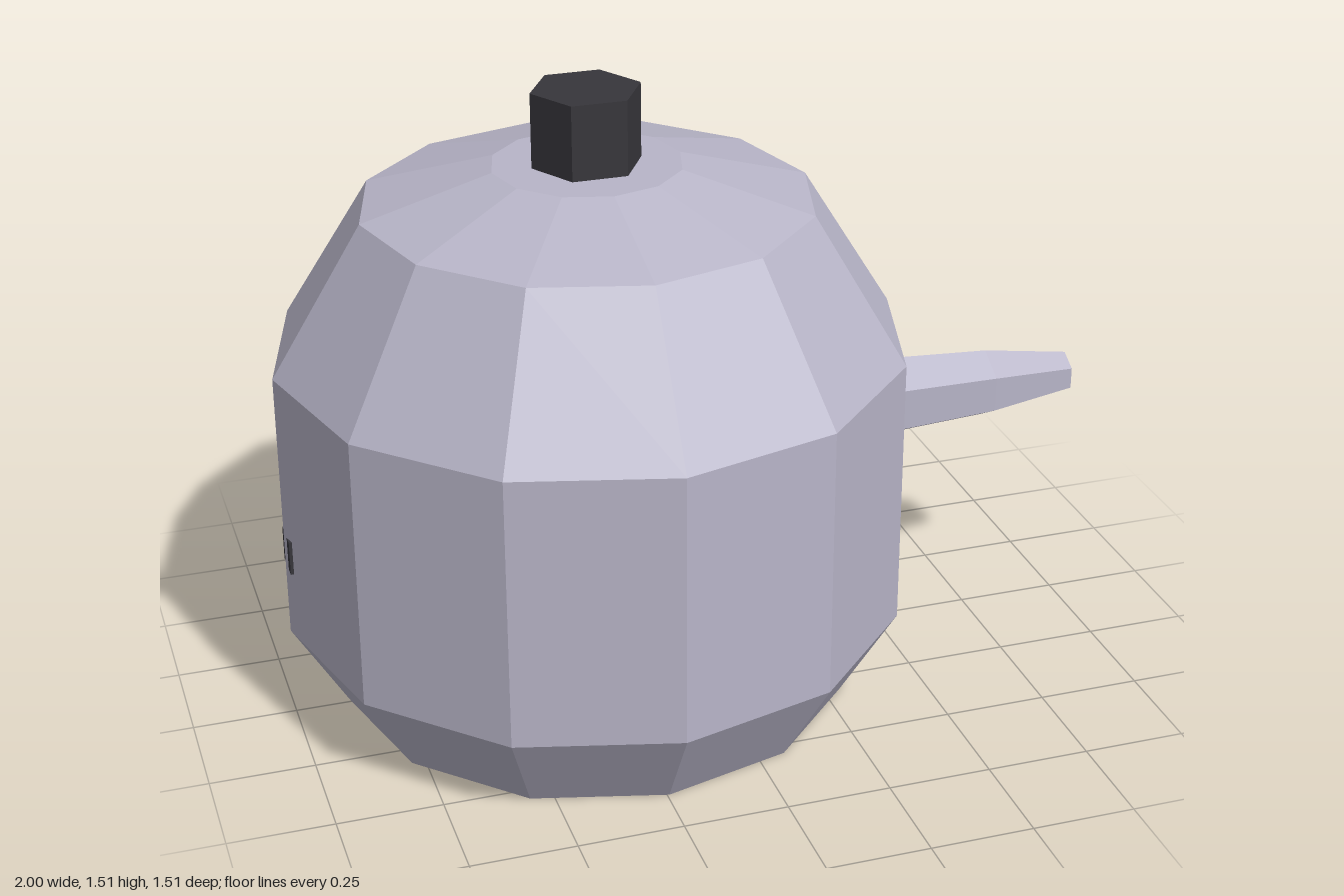
import * as THREE from 'three';

const flat = (name, color) => {
  const m = new THREE.MeshStandardMaterial({ color, flatShading: true });
  m.name = name;
  return m;
};

// Faceted solid of revolution around y; profile runs from bottom to top.
function turned(name, profile, sides, material, phiStart = 0) {
  const points = profile.map(([r, y]) => new THREE.Vector2(r, y));
  const mesh = new THREE.Mesh(new THREE.LatheGeometry(points, sides, phiStart), material);
  mesh.name = name;
  return mesh;
}

export function createModel() {
  const metal = flat('lilac grey metal', 0xb8b5c8);
  const dark = flat('dark grip', 0x37363b);
  const model = new THREE.Group();
  model.name = 'teapot';
  const centreX = -0.245;

  // Twelve-sided pot with a closed base
  const body = turned('body',
    [[0, 0], [0.62, 0], [0.755, 0.225], [0.755, 0.89], [0.535, 1.245]], 12, metal);
  body.position.x = centreX;

  // Shallow lid with a flat crown
  const lid = turned('lid', [[0.535, 1.245], [0.225, 1.333], [0, 1.333]], 12, metal);
  lid.position.x = centreX;

  // Six-sided knob, corners towards the sides
  const knob = turned('lidKnob',
    [[0, 1.32], [0.131, 1.32], [0.131, 1.513], [0, 1.513]], 6, dark, Math.PI / 2);
  knob.position.x = centreX;

  // Tapered six-sided spout lying along +x
  const spout = turned('spout',
    [[0, 0.482], [0.106, 0.482], [0.088, 0.78], [0.053, 1], [0, 1]], 6, metal, Math.PI / 2);
  spout.rotation.z = -Math.PI / 2;
  spout.position.y = 0.625;

  // Handle stub, almost flush with the body wall
  const stub = new THREE.Mesh(new THREE.BoxGeometry(0.05, 0.085, 0.086), dark);
  stub.name = 'handleStub';
  stub.position.set(-0.971, 0.443, 0);

  model.add(body, lid, knob, spout, stub);
  return model;
}
